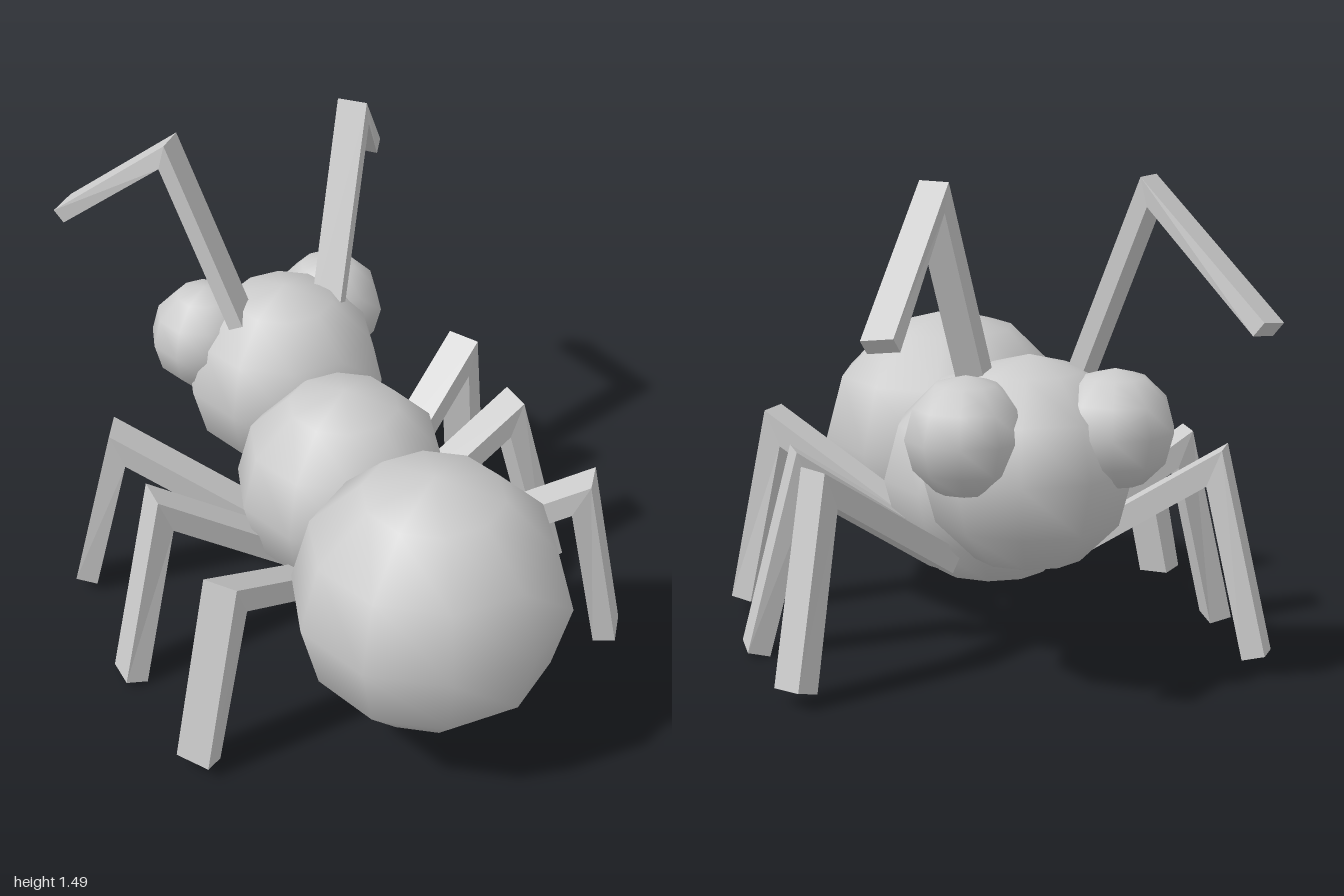
import * as THREE from 'three';

const material = new THREE.MeshStandardMaterial({ color: 0xcccccc });
const V = (p) => new THREE.Vector3(...p);

// Low-sided, smooth-shaded ball
function ball(name, radius, x, y, z) {
  const mesh = new THREE.Mesh(new THREE.SphereGeometry(radius, 10, 6), material);
  mesh.name = name;
  mesh.position.set(x, y, z);
  return mesh;
}

// Rectangular bar bent once at the joint, with a mitred corner
function bentBar(name, points, width, thick) {
  const [a, b, c] = points.map(V);
  const d1 = b.clone().sub(a).normalize();
  const d2 = c.clone().sub(b).normalize();
  const w = new THREE.Vector3(0, 1, 0).cross(d1).normalize();
  const n1 = d1.clone().cross(w).normalize();
  const n2 = d2.clone().cross(w).normalize();
  const wEnd = n2.clone().cross(d2).normalize();
  const mitre = n1.clone().add(n2).divideScalar(1 + n1.dot(n2));

  const sections = [[a, w, n1], [b, w, mitre], [c, wEnd, n2]];
  const positions = [];
  for (const [centre, side, up] of sections) {
    for (const [s, u] of [[1, -1], [1, 1], [-1, 1], [-1, -1]]) {
      const p = centre.clone()
        .addScaledVector(side, s * width / 2)
        .addScaledVector(up, u * thick / 2);
      positions.push(p.x, p.y, p.z);
    }
  }
  const index = [0, 2, 1, 0, 3, 2, 8, 9, 10, 8, 10, 11];
  for (let r = 0; r < 8; r += 4) {
    for (let i = 0; i < 4; i++) {
      const j = (i + 1) % 4;
      index.push(r + i, r + j, r + 4 + j, r + i, r + 4 + j, r + 4 + i);
    }
  }
  const indexed = new THREE.BufferGeometry();
  indexed.setAttribute('position', new THREE.Float32BufferAttribute(positions, 3));
  indexed.setIndex(index);
  const geometry = indexed.toNonIndexed();
  geometry.computeVertexNormals();
  const mesh = new THREE.Mesh(geometry, material);
  mesh.name = name;
  return mesh;
}

export function createModel() {
  const model = new THREE.Group();
  model.name = 'ant';

  // Body: the abdomen faces +z, the head -z
  model.add(
    ball('abdomen', 0.415, 0, 0.533, 0.6),
    ball('thorax', 0.337, 0, 0.535, 0),
    ball('head', 0.317, 0, 0.678, -0.45),
  );

  // Base, joint and tip of each limb on the left side
  const legs = {
    abdomenLeg: [[0.18, 0.32, 0.155], [0.585, 0.62, 0.46], [0.695, 0.055, 0.475]],
    middleLeg: [[0.2, 0.33, -0.02], [0.595, 0.6, -0.032], [0.735, 0.03, 0.012]],
    headLeg: [[0.18, 0.32, -0.15], [0.595, 0.62, -0.375], [0.69, 0.06, -0.49]],
  };
  const antenna = [[0.13, 0.84, -0.415], [0.31, 1.468, -0.595], [0.525, 1.133, -0.962]];

  for (const [side, s] of [['left', 1], ['right', -1]]) {
    const mirror = (points) => points.map(([x, y, z]) => [s * x, y, z]);
    model.add(ball(side + 'Eye', 0.175, s * 0.215, 0.795, -0.583));
    model.add(bentBar(side + 'Antenna', mirror(antenna), 0.095, 0.05));
    for (const [name, points] of Object.entries(legs)) {
      model.add(bentBar(side + name[0].toUpperCase() + name.slice(1), mirror(points), 0.11, 0.07));
    }
  }
  return model;
}
